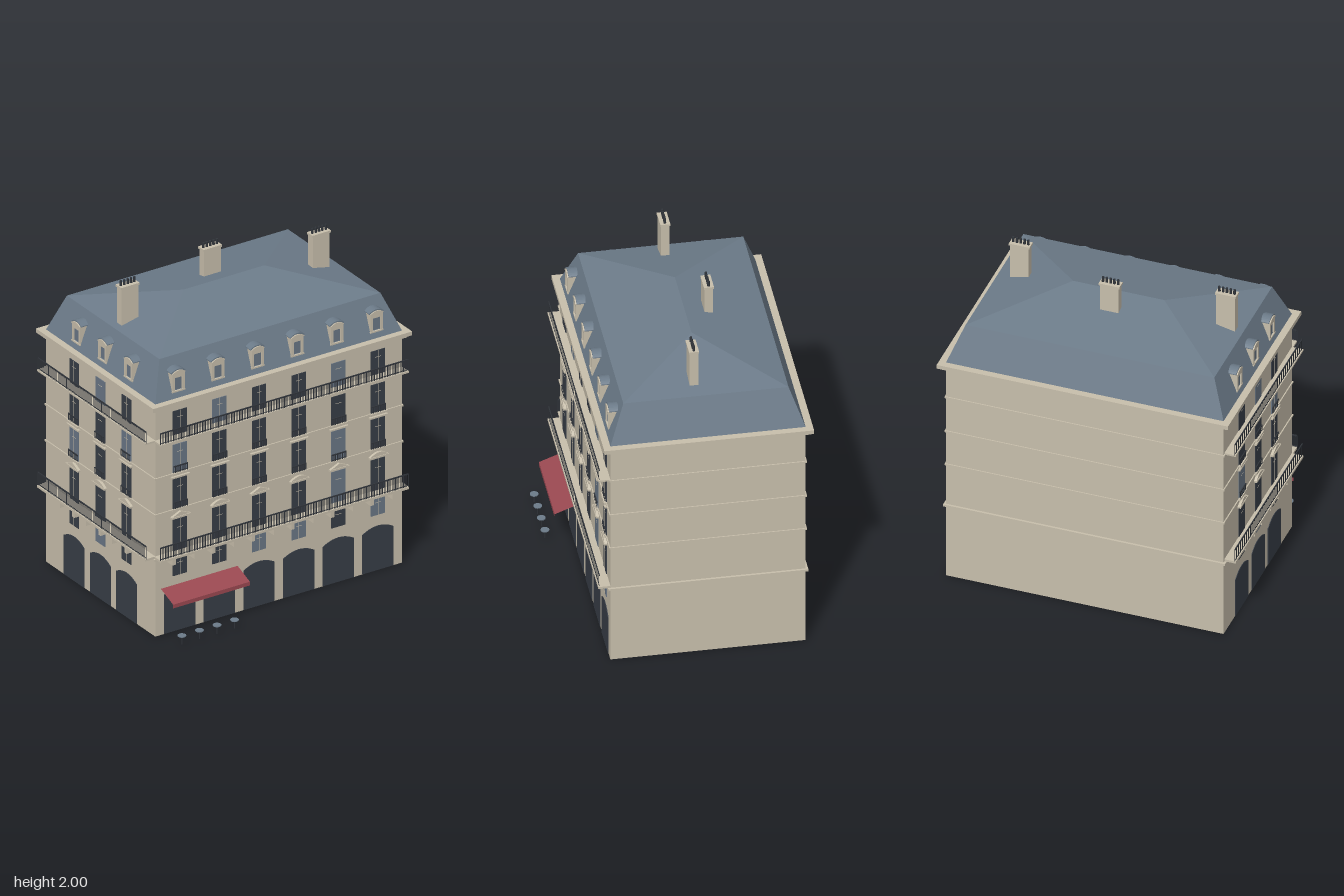
import * as THREE from 'three';
import { mergeGeometries } from 'three/addons/utils/BufferGeometryUtils.js';
import { ConvexGeometry } from 'three/addons/geometries/ConvexGeometry.js';

const mat = (name, color, side = THREE.FrontSide) => {
  const m = new THREE.MeshStandardMaterial({ color, side });
  m.name = name;
  return m;
};

export function createModel() {
  const stone = mat('limestone', 0xc7beab);
  const zinc = mat('zinc', 0x6c7b89);
  const darkGlass = mat('darkGlass', 0x373d46);
  const paleGlass = mat('paleGlass', 0x697685);
  const iron = mat('iron', 0x30343a, THREE.DoubleSide);
  const canvas = mat('awningRed', 0x9a4851, THREE.DoubleSide);

  const model = new THREE.Group();
  model.name = 'cornerApartmentBuilding';
  const X0 = -0.832, X1 = 0.855, Z0 = -0.638, Z1 = 0.493;
  const CX = (X0 + X1) / 2, CZ = (Z0 + Z1) / 2, BAY = 0.271;

  const add = (parent, name, geo, material) => {
    const mesh = new THREE.Mesh(geo, material);
    mesh.name = name;
    parent.add(mesh);
    return mesh;
  };
  // Box given by its min and max on each axis
  const box = (x0, x1, y0, y1, z0, z1) =>
    new THREE.BoxGeometry(x1 - x0, y1 - y0, z1 - z0)
      .translate((x0 + x1) / 2, (y0 + y1) / 2, (z0 + z1) / 2);
  // Band running around the whole building
  const band = (name, y0, y1, out) =>
    add(model, name, box(X0 - out, X1 + out, y0, y1, Z0 - out, Z1 + out), stone);
  // Upright plate with an arched head
  const plate = (u, w, y0, y1, rise, z0, depth) => {
    const s = new THREE.Shape();
    s.moveTo(u - w / 2, y0);
    s.lineTo(u + w / 2, y0);
    s.lineTo(u + w / 2, y1 - rise);
    if (rise) s.quadraticCurveTo(u, y1 + rise, u - w / 2, y1 - rise);
    else s.lineTo(u - w / 2, y1);
    return new THREE.ExtrudeGeometry(s, { depth, bevelEnabled: false, curveSegments: 10 })
      .translate(0, 0, z0);
  };

  // Walls, floor bands and cornice
  add(model, 'walls', box(X0, X1, 0, 1.46, Z0, Z1), stone);
  band('firstFloorBand', 0.487, 0.5, 0.014);
  for (const y of [0.772, 1.003, 1.24]) band('floorBand', y, y + 0.01, 0.007);
  band('corniceLower', 1.445, 1.462, 0.02);
  band('corniceUpper', 1.462, 1.487, 0.042);

  // Mansard roof: two hipped slopes up to a ridge
  const roofPoints = [];
  for (const [x0, x1, y, z0, z1] of [
    [X0, X1, 1.487, Z0, Z1], [-0.745, 0.767, 1.715, -0.554, 0.403], [-0.265, 0.289, 1.822, -0.075, -0.075],
  ]) for (const x of [x0, x1]) for (const z of new Set([z0, z1])) roofPoints.push(new THREE.Vector3(x, y, z));
  add(model, 'mansardRoof', new ConvexGeometry(roofPoints), zinc);

  // Chimney stacks with a row of pots
  for (const [x, z] of [[-0.646, -0.075], [0.01, -0.214], [0.627, -0.021]]) {
    const chimney = new THREE.Group();
    chimney.name = 'chimney';
    chimney.position.set(x, 0, z);
    add(chimney, 'stack', box(-0.057, 0.057, 1.7, 1.955, -0.025, 0.025), stone);
    add(chimney, 'stackCap', box(-0.063, 0.063, 1.955, 1.968, -0.029, 0.029), stone);
    const pots = [-2, -1, 0, 1, 2].map((i) =>
      new THREE.CylinderGeometry(0.007, 0.008, 0.034, 10).translate(i * 0.023, 1.983, 0));
    add(chimney, 'pots', mergeGeometries(pots), iron);
    model.add(chimney);
  }

  // Railing of flat bars with rails above and below
  const railing = (parent, name, u0, u1, y0, y1, z, pitch) => {
    const parts = [box(u0, u1, y1 - 0.007, y1, z - 0.003, z + 0.003),
      box(u0, u1, y0 + 0.006, y0 + 0.01, z - 0.001, z + 0.001)];
    const n = Math.round((u1 - u0) / pitch);
    for (let i = 0; i <= n; i++)
      parts.push(new THREE.PlaneGeometry(pitch * 0.5, y1 - y0)
        .translate(u0 + ((u1 - u0) * i) / n, (y0 + y1) / 2, z));
    add(parent, name, mergeGeometries(parts), iron);
  };

  const dormer = (parent, u) => {
    const g = new THREE.Group();
    g.name = 'dormer';
    g.position.x = u;
    for (const s of [-1, 1])
      add(g, 'dormerJamb', box(s * 0.034 - 0.008, s * 0.034 + 0.008, 1.525, 1.637, -0.08, -0.009), stone);
    add(g, 'dormerSill', box(-0.045, 0.045, 1.521, 1.53, -0.06, -0.007), stone);
    add(g, 'dormerPane', box(-0.027, 0.027, 1.529, 1.62, -0.08, -0.018), paleGlass);
    add(g, 'dormerLintel', box(-0.042, 0.042, 1.612, 1.638, -0.08, -0.009), stone);
    add(g, 'dormerGable', plate(0, 0.088, 1.636, 1.657, 0.016, -0.02, 0.014), stone);
    add(g, 'dormerHood', plate(0, 0.098, 1.641, 1.664, 0.018, -0.09, 0.077), zinc);
    parent.add(g);
  };

  // Street facade in local space: u along the wall, +z outward
  const storeys = [
    { y0: 0.355, y1: 0.465, rise: 0.008 }, { y0: 0.515, y1: 0.715 }, { y0: 0.785, y1: 0.975 },
    { y0: 1.016, y1: 1.195 }, { y0: 1.257, y1: 1.41 },
  ];
  const facade = (name, bays, u0, u1, pale) => {
    const g = new THREE.Group();
    g.name = name;
    for (let b = 0; b < bays; b++) {
      const u = (b - (bays - 1) / 2) * BAY;
      add(g, 'groundArch', plate(u, 0.212, 0.002, 0.285, 0.032, 0, 0.004), darkGlass);
      storeys.forEach(({ y0, y1, rise = 0 }, f) => {
        add(g, 'window', plate(u, 0.096, y0, y1, rise, 0, 0.004), pale[f].includes(b) ? paleGlass : darkGlass);
        const yt = y0 + (y1 - y0) * 0.72;
        add(g, 'glazingBars', mergeGeometries([
          box(u - 0.0012, u + 0.0012, y0, y1 - rise, 0, 0.005),
          box(u - 0.02, u + 0.02, yt, yt + 0.0025, 0, 0.005)]), stone);
      });
      // Hoods over the second-storey windows, alternating pointed and curved
      add(g, 'hoodLedge', box(u - 0.064, u + 0.064, 0.726, 0.737, 0, 0.02), stone);
      const hood = new THREE.Shape();
      hood.moveTo(u - 0.06, 0.737);
      hood.lineTo(u + 0.06, 0.737);
      if (b % 2) hood.quadraticCurveTo(u, 0.785, u - 0.06, 0.737);
      else hood.lineTo(u, 0.764);
      add(g, 'windowHood', new THREE.ExtrudeGeometry(hood, { depth: 0.016, bevelEnabled: false, curveSegments: 8 }), stone);
      // Lintels and sills
      add(g, 'lintel', box(u - 0.062, u + 0.062, 0.983, 0.993, 0, 0.016), stone);
      add(g, 'sill', box(u - 0.056, u + 0.056, 1.003, 1.016, 0, 0.018), stone);
      add(g, 'sill', box(u - 0.056, u + 0.056, 0.772, 0.785, 0, 0.014), stone);
      for (const y of [0.785, 1.016])
        railing(g, 'windowGuard', u - 0.047, u + 0.047, y, y + 0.045, 0.01, 0.012);
      // Balcony brackets
      for (const s of [-0.075, 0.075])
        add(g, 'bracket', box(u + s - 0.011, u + s + 0.011, 0.457, 0.502, 0, 0.058), stone);
      dormer(g, u);
    }
    // Two full-length balconies
    for (const [y0, y1, yr] of [[0.5, 0.514, 0.598], [1.245, 1.256, 1.331]]) {
      add(g, 'balconySlab', box(u0, u1, y0, y1, 0, 0.07), stone);
      railing(g, 'balconyRailing', u0, u1, y1, yr, 0.064, 0.011);
    }
    model.add(g);
    return g;
  };
  facade('frontFacade', 6, -0.85, 0.845, [[2, 3, 5], [4], [4], [0], [1, 4]])
    .position.set(CX, 0, Z1);
  const side = facade('sideFacade', 3, -0.553, 0.566, [[1], [], [0], [2], [1]]);
  side.position.set(X0, 0, CZ);
  side.rotation.y = -Math.PI / 2;

  // Sloping awning with a valance
  const slope = new THREE.PlaneGeometry(0.525, Math.hypot(0.127, 0.048));
  slope.rotateX(-Math.atan2(0.127, 0.048)).translate(-0.532, 0.272, 0.557);
  const valance = new THREE.PlaneGeometry(0.525, 0.024).translate(-0.532, 0.236, 0.6205);
  add(model, 'awning', mergeGeometries([slope, valance]), canvas);

  // Pavement tables
  for (let i = 0; i < 4; i++) {
    const table = new THREE.Group();
    table.name = 'cafeTable';
    table.position.set(-0.757 + i * 0.12, 0, 0.655);
    add(table, 'tableTop', new THREE.CylinderGeometry(0.025, 0.025, 0.005, 20).translate(0, 0.055, 0), zinc);
    add(table, 'tableLeg', new THREE.CylinderGeometry(0.003, 0.003, 0.054, 8).translate(0, 0.027, 0), iron);
    model.add(table);
  }
  return model;
}
